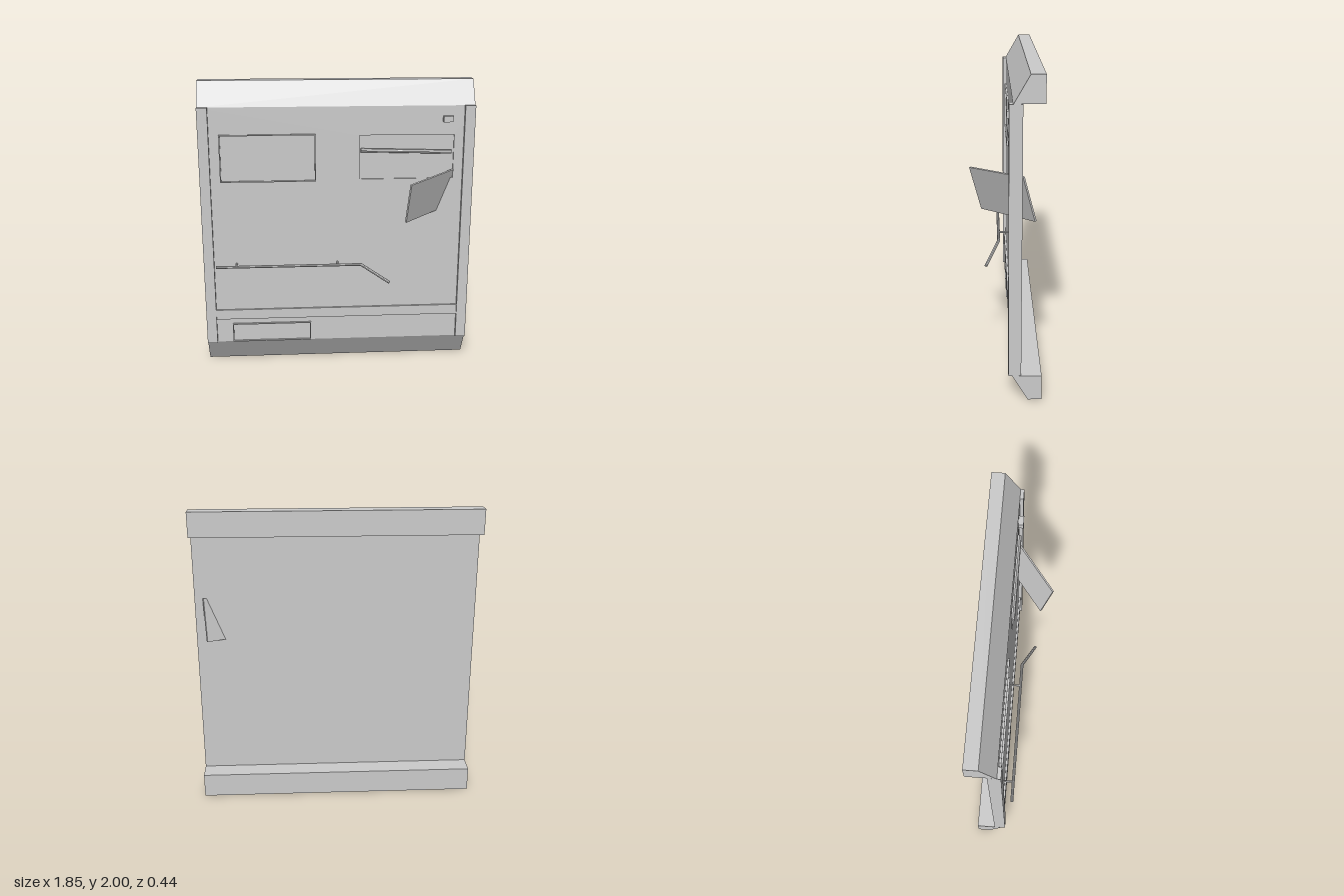
import * as THREE from 'three';

const W = 1.85, LOW = 0.165, HIGH = 1.835, FRONT = -0.035, BACK = -0.09;

export function createModel() {
  const model = new THREE.Group();
  const mat = new THREE.MeshStandardMaterial({ color: 0xcccccc, flatShading: true });

  const add = (name, geo) => {
    const mesh = new THREE.Mesh(geo, mat);
    mesh.name = name;
    model.add(mesh);
    return mesh;
  };
  // box given by its limits on each axis
  const box = (name, x0, x1, y0, y1, z0, z1) => {
    const m = add(name, new THREE.BoxGeometry(x1 - x0, y1 - y0, z1 - z0));
    m.position.set((x0 + x1) / 2, (y0 + y1) / 2, (z0 + z1) / 2);
    return m;
  };
  const rect = (Type, x0, x1, y0, y1) => new Type([
    new THREE.Vector2(x0, y0), new THREE.Vector2(x1, y0),
    new THREE.Vector2(x1, y1), new THREE.Vector2(x0, y1),
  ]);
  // flat plate with a rectangular opening
  const ring = (name, outer, inner, z0, z1) => {
    const shape = rect(THREE.Shape, ...outer);
    shape.holes.push(rect(THREE.Path, ...inner));
    const m = add(name, new THREE.ExtrudeGeometry(shape, { depth: z1 - z0, bevelEnabled: false }));
    m.position.z = z0;
    return m;
  };
  // round bar between two points
  const rod = (name, a, b, r) => {
    const p = new THREE.Vector3(...a), q = new THREE.Vector3(...b);
    const m = add(name, new THREE.CylinderGeometry(r, r, p.distanceTo(q), 8));
    m.position.copy(p).add(q).multiplyScalar(0.5);
    m.quaternion.setFromUnitVectors(new THREE.Vector3(0, 1, 0), q.sub(p).normalize());
    return m;
  };

  // wall: solid back and front skin with a shallow recess
  box('wallBack', -W / 2, W / 2, LOW, HIGH, BACK, FRONT - 0.01);
  ring('wallFront', [-W / 2, W / 2, LOW, HIGH], [0.15, 0.79, 1.34, 1.64], FRONT - 0.01, FRONT);

  // sloped beams at top and bottom, mirrored about mid height
  for (const top of [true, false]) {
    const profile = [[FRONT, HIGH], [-0.13, 2], [-0.215, 2], [-0.215, 1.838], [BACK, 1.838]];
    const shape = new THREE.Shape(profile.map(([z, y]) => new THREE.Vector2(-z, top ? y : 2 - y)));
    const beam = add(top ? 'topBeam' : 'bottomBeam',
      new THREE.ExtrudeGeometry(shape, { depth: W, bevelEnabled: false }));
    beam.rotation.y = Math.PI / 2;
    beam.position.x = -W / 2;
  }

  // side posts
  for (const s of [-1, 1]) {
    const a = s * 0.855, b = s * W / 2;
    box(s > 0 ? 'leftPost' : 'rightPost', Math.min(a, b), Math.max(a, b), LOW, HIGH, FRONT, -0.012);
  }

  // low trim band
  box('trimBand', -0.855, 0.855, 0.34, 0.41, FRONT, -0.022);

  // framed panels
  for (const [name, x0, x1, y0, y1] of [
    ['screenFrame', -0.79, -0.145, 1.33, 1.653],
    ['ventFrame', -0.745, -0.19, LOW, 0.303],
  ]) {
    ring(name, [x0, x1, y0, y1], [x0 + 0.008, x1 - 0.008, y0 + 0.008, y1 - 0.008], FRONT, -0.024);
  }

  // button and slanted bar in the recess
  box('button', 0.71, 0.775, 1.727, 1.767, FRONT, -0.002);
  rod('slantedBar', [0.157, 1.54, -0.03], [0.772, 1.522, -0.03], 0.014);

  // handrail with bent end and two standoffs
  rod('handrail', [-0.838, 0.75, 0.035], [0.16, 0.75, 0.035], 0.01);
  rod('handrailEnd', [0.157, 0.751, 0.034], [0.348, 0.645, 0.122], 0.01);
  for (const x of [-0.7, 0]) rod('standoff', [x, 0.75, FRONT], [x, 0.75, 0.035], 0.007);

  // open hatch, swung out and passing through the wall
  const corner = new THREE.Vector3(0.467, 1.355, 0.215);
  const along = new THREE.Vector3(0.403, 0.055, -0.315);
  const down = new THREE.Vector3(-0.022, -0.275, -0.07);
  const hatch = add('hatch', new THREE.BoxGeometry(along.length(), down.length(), 0.012));
  hatch.position.copy(corner).addScaledVector(along, 0.5).addScaledVector(down, 0.5);
  const ax = along.clone().normalize();
  const az = new THREE.Vector3().crossVectors(down, along).normalize();
  const ay = new THREE.Vector3().crossVectors(az, ax);
  hatch.quaternion.setFromRotationMatrix(new THREE.Matrix4().makeBasis(ax, ay, az));

  return model;
}
